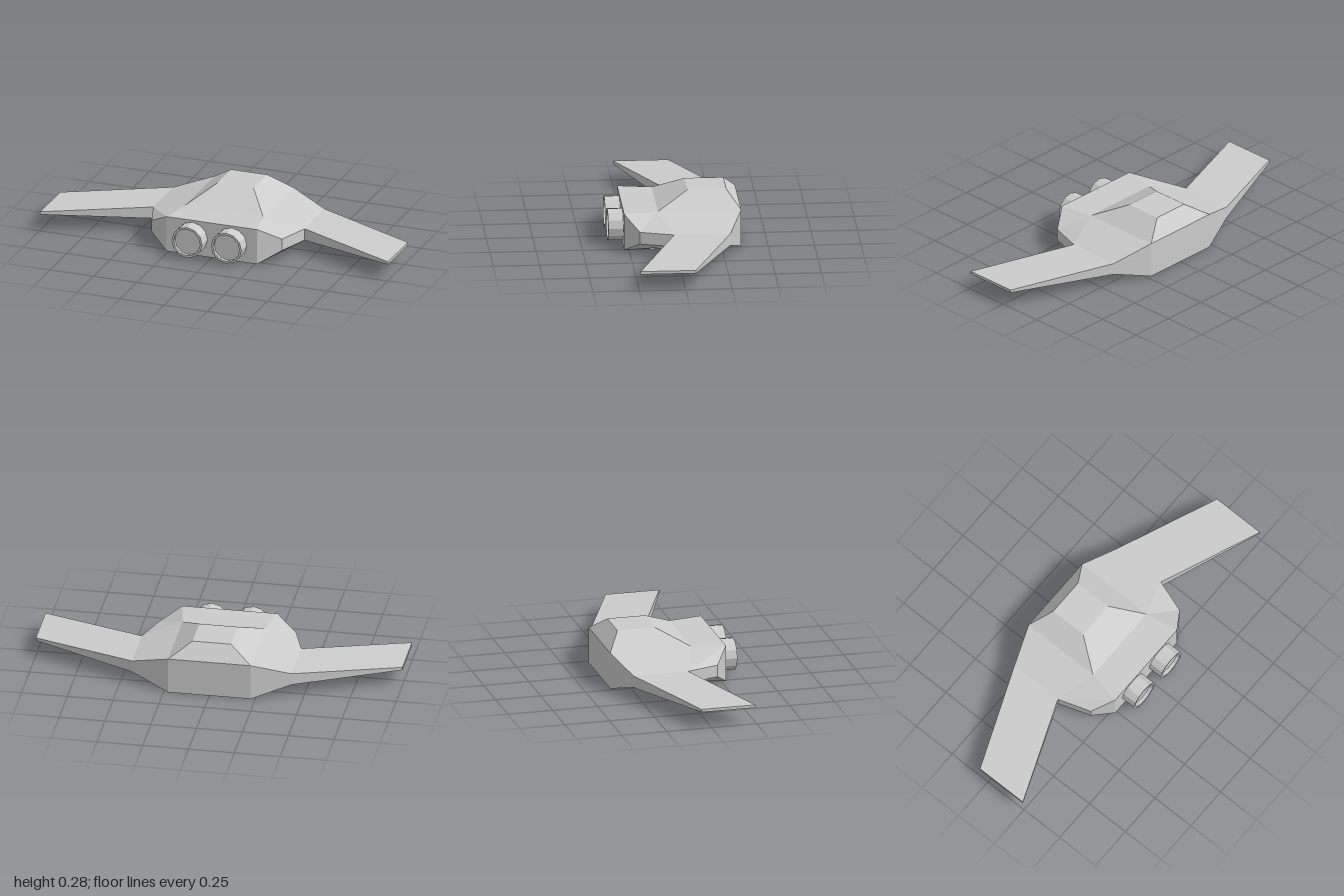
import * as THREE from 'three';

const material = new THREE.MeshStandardMaterial({ color: 0xcccccc, flatShading: true });
const HEIGHT = 0.2;

// Mesh from convex polygons (counter-clockwise seen from outside), mirrored to both sides
function mirroredShell(name, polygons) {
  const positions = [];
  for (const side of [1, -1]) {
    for (const polygon of polygons) {
      const corners = side > 0 ? polygon : [...polygon].reverse();
      for (let i = 1; i < corners.length - 1; i++) {
        for (const [x, y, z] of [corners[0], corners[i], corners[i + 1]]) positions.push(x * side, y, z);
      }
    }
  }
  const geometry = new THREE.BufferGeometry();
  geometry.setAttribute('position', new THREE.Float32BufferAttribute(positions, 3));
  geometry.computeVertexNormals();
  const mesh = new THREE.Mesh(geometry, material);
  mesh.name = name;
  return mesh;
}

// Matching point or polygon on the underside
const low = ([x, y, z]) => [x, HEIGHT - y, z];
const under = (polygon) => polygon.map(low).reverse();
// Vertical wall hanging from a top edge down to its underside twin
const wall = (p, q) => [p, low(p), low(q), q];

export function createModel() {
  const group = new THREE.Group();

  // Inner rim of the hull, nose to tail
  const noseMid = [0, 0.2, -0.357], tailMid = [0, 0.2, 0.276], deckMid = [0, 0.2, 0.092];
  const nose = [0.225, 0.2, -0.357], shoulder = [0.225, 0.2, 0.092], tail = [0.26, 0.2, 0.276];
  // Outer rim, where the wings join
  const rootFront = [0.435, 0.133, -0.283], rootBack = [0.435, 0.133, 0.02], flank = [0.375, 0.133, 0.2];
  // Wing tip
  const tipFront = [1, 0.108, -0.056], tipBack = [1, 0.108, 0.243];

  // Hull
  const slopes = [[nose, shoulder, rootBack, rootFront], [shoulder, tail, flank, rootBack]];
  group.add(mirroredShell('hull', [
    ...slopes,
    ...slopes.map(under),
    [deckMid, tailMid, tail, shoulder],
    under([noseMid, tailMid, tail, shoulder, nose]),
    wall(tailMid, tail),
    wall(tail, flank),
    wall(flank, rootBack),
    wall(rootFront, nose),
    wall(nose, noseMid),
  ]));

  // Swept wings
  const wingTop = [rootFront, rootBack, tipBack, tipFront];
  group.add(mirroredShell('wings', [
    wingTop,
    under(wingTop),
    wall(rootBack, tipBack),
    wall(tipBack, tipFront),
    wall(tipFront, rootFront),
  ]));

  // Raised cabin on the deck
  const roofFront = [0.105, 0.283, -0.285], roofBack = [0.105, 0.283, -0.077];
  const roofFrontMid = [0, 0.283, -0.285], roofBackMid = [0, 0.283, -0.077];
  group.add(mirroredShell('cabin', [
    [roofFrontMid, roofBackMid, roofBack, roofFront],
    [roofFront, roofBack, shoulder, nose],
    [roofBackMid, deckMid, shoulder, roofBack],
    [roofFrontMid, roofFront, nose, noseMid],
  ]));

  // Pair of engine nozzles with a shallow recess
  const profile = [[0.088, 0.27], [0.088, 0.357], [0.076, 0.357], [0.076, 0.337], [0, 0.337]];
  const nozzle = new THREE.LatheGeometry(profile.map(([r, y]) => new THREE.Vector2(r, y)), 12);
  nozzle.rotateX(Math.PI / 2);
  for (const side of [1, -1]) {
    const mesh = new THREE.Mesh(nozzle, material);
    mesh.name = side > 0 ? 'leftEngine' : 'rightEngine';
    mesh.position.set(side * 0.113, 0.101, 0);
    group.add(mesh);
  }

  return group;
}
